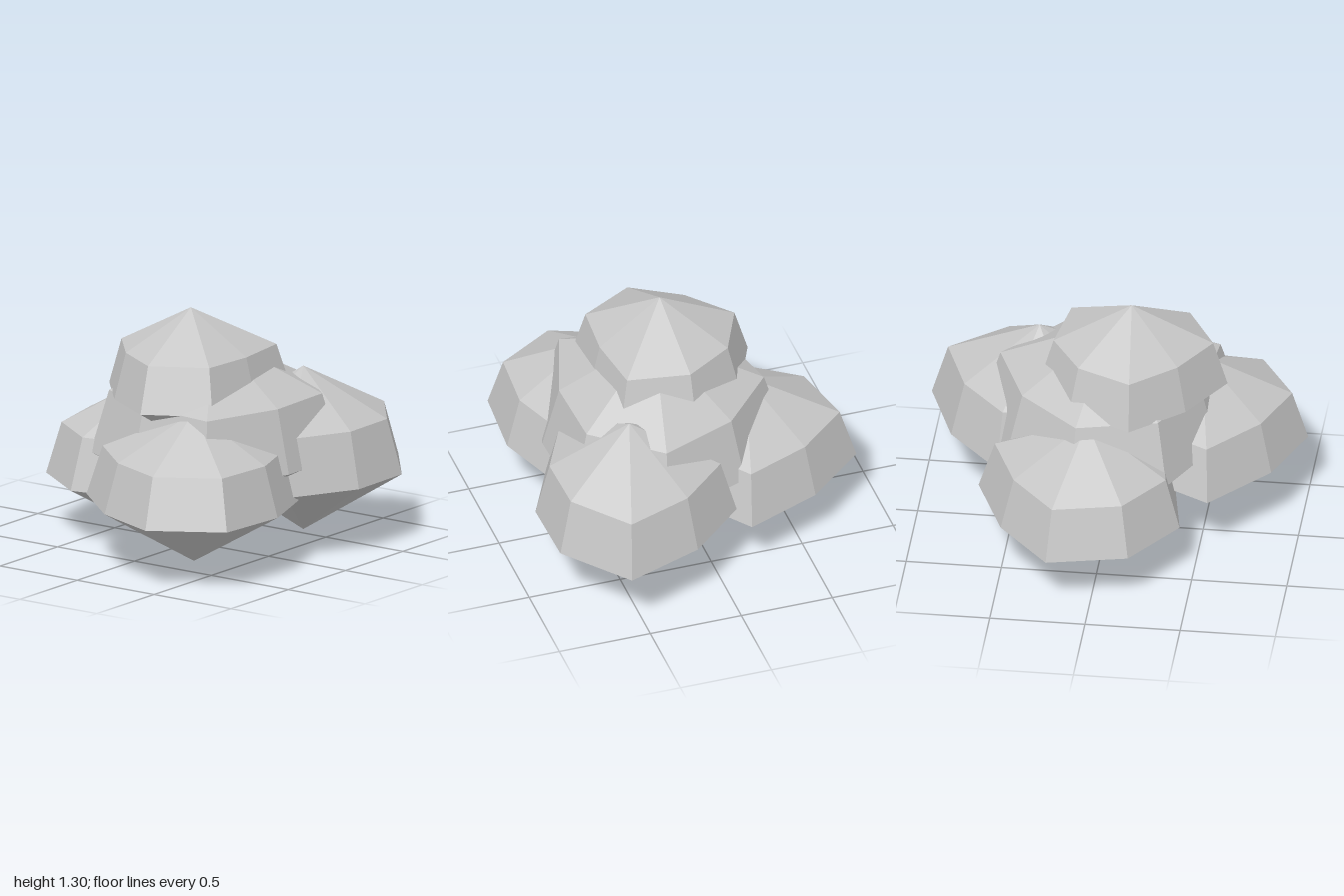
import * as THREE from 'three';

const SIDES = 8;

// Faceted boulder: bottom point, wide lower ring, narrower upper ring, top point.
// radii are given for 45 degree steps from +x towards +z, starting at phase.
function boulder({ name, x, z, bottom, top, phase, radii }, material) {
  const scales = [0, 1, 0.85, 0];
  const levels = [0, 0.358, 0.693, 1].map((t) => bottom + t * (top - bottom));
  const profile = scales.map((s, j) => new THREE.Vector2(s, levels[j]));
  const lathe = new THREE.LatheGeometry(profile, SIDES);
  const pos = lathe.attributes.position;

  // Push each column of the lathe out to its own radius
  for (let i = 0; i <= SIDES; i++) {
    const k = (SIDES - i) % SIDES;
    const angle = THREE.MathUtils.degToRad(phase + 45 * k);
    scales.forEach((s, j) => {
      const r = radii[k] * s;
      pos.setXYZ(i * scales.length + j, r * Math.cos(angle), levels[j], r * Math.sin(angle));
    });
  }

  // Separate faces give flat facets
  const geometry = lathe.toNonIndexed();
  geometry.computeVertexNormals();
  const mesh = new THREE.Mesh(geometry, material);
  mesh.name = name;
  mesh.position.set(x, 0, z);
  return mesh;
}

export function createModel() {
  const group = new THREE.Group();
  group.name = 'rockPile';
  const stone = new THREE.MeshStandardMaterial({ color: 0xc6c6c6 });
  stone.name = 'stone grey';

  const rocks = [
    { name: 'frontLeftRock', x: 0.41, z: 0.42, bottom: 0.05, top: 0.93, phase: -73,
      radii: [0.56, 0.495, 0.615, 0.52, 0.49, 0.59, 0.46, 0.5] },
    { name: 'frontRightRock', x: -0.45, z: 0.35, bottom: 0.045, top: 0.85, phase: 35.5,
      radii: [0.583, 0.49, 0.56, 0.555, 0.49, 0.63, 0.5, 0.5] },
    { name: 'backRock', x: 0.07, z: -0.33, bottom: 0, top: 0.82, phase: 15,
      radii: [0.61, 0.48, 0.5, 0.5, 0.52, 0.54, 0.58, 0.49] },
    { name: 'middleRock', x: 0, z: 0.15, bottom: 0.14, top: 1.14, phase: 12,
      radii: [0.72, 0.66, 0.585, 0.745, 0.58, 0.65, 0.68, 0.61] },
    { name: 'topRock', x: -0.115, z: 0.08, bottom: 0.568, top: 1.3, phase: -5,
      radii: [0.48, 0.54, 0.4, 0.49, 0.5, 0.41, 0.5, 0.45] },
  ];
  rocks.forEach((rock) => group.add(boulder(rock, stone)));
  return group;
}
